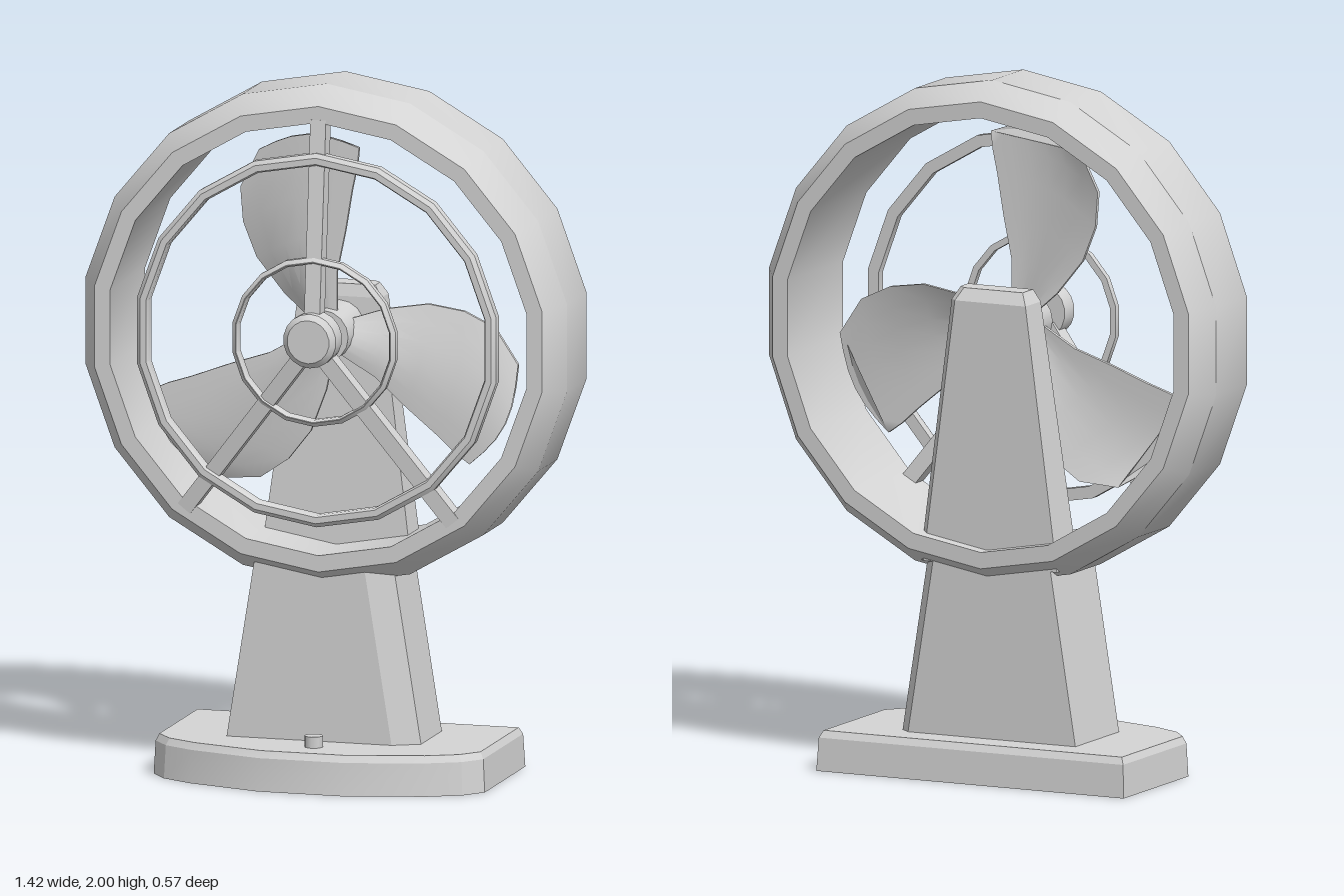
import * as THREE from 'three';
import { toCreasedNormals } from 'three/addons/utils/BufferGeometryUtils.js';

const AXIS_Y = 1.279;
const grey = new THREE.MeshStandardMaterial({ color: 0xd4d4d4 });
grey.name = 'light grey';

function part(name, geometry, parent) {
  const mesh = new THREE.Mesh(geometry, grey);
  mesh.name = name;
  parent.add(mesh);
  return mesh;
}

// Skin stacked loops of [x, y, z] points and cap both ends
function loft(loops, crease) {
  const pos = [];
  const n = loops[0].length;
  const tri = (a, b, c) => pos.push(...a, ...b, ...c);
  for (let k = 0; k < loops.length - 1; k++) {
    for (let i = 0; i < n; i++) {
      const j = (i + 1) % n;
      const [a, b, c, d] = [loops[k][i], loops[k][j], loops[k + 1][j], loops[k + 1][i]];
      tri(a, b, c);
      tri(a, c, d);
    }
  }
  const first = loops[0], last = loops[loops.length - 1];
  for (let i = 1; i < n - 1; i++) {
    tri(first[0], first[i + 1], first[i]);
    tri(last[0], last[i], last[i + 1]);
  }
  const g = new THREE.BufferGeometry();
  g.setAttribute('position', new THREE.Float32BufferAttribute(pos, 3));
  return toCreasedNormals(g, crease);
}

// Revolve an [r, z] profile about the fan axis
function turned(profile, sides) {
  const g = new THREE.LatheGeometry(profile.map(([r, z]) => new THREE.Vector2(r, z)), sides);
  g.rotateX(Math.PI / 2);
  return toCreasedNormals(g.toNonIndexed(), 0.47);
}

// Grille hoop with a bevelled front
const hoop = (inner, outer, back, front) => turned([
  [inner, back], [outer, back], [outer, front - 0.01], [outer - 0.012, front],
  [inner + 0.005, front], [inner, front - 0.01], [inner, back],
], 18);

// Broad cambered blade, thin section at each radius
function bladeGeometry() {
  const left = [[-0.05, 0.02], [-0.14, 0.1], [-0.222, 0.2], [-0.262, 0.3], [-0.27, 0.4], [-0.215, 0.51]];
  const right = [[0.03, 0.03], [0.03, 0.18], [0.055, 0.3], [0.075, 0.42], [0.09, 0.49], [0.095, 0.54]];
  const steps = 6, thick = 0.006;
  const loops = left.map((l, k) => {
    const r = right[k], front = [], back = [];
    for (let i = 0; i <= steps; i++) {
      const u = i / steps, bow = Math.sin(Math.PI * u);
      const x = l[0] + (r[0] - l[0]) * u;
      const y = l[1] + (r[1] - l[1]) * u + 0.045 * bow * k / 5;
      const z = 0.01 + (u - 0.5) * 0.05 + 0.02 * bow;
      front.push([x, y, z + thick]);
      back.unshift([x, y, z - thick]);
    }
    return [...back, ...front];
  });
  return loft(loops, 0.6);
}

export function createModel() {
  const model = new THREE.Group();
  model.name = 'deskFan';

  // Hollow base with a bowed front
  const half = [[0.13, 0.285], [0.35, 0.222], [0.44, 0.175], [0.488, 0.115], [0.488, -0.285]];
  const outline = [...half, ...half.map(([x, z]) => [-x, z]).reverse()];
  const level = (y, s) => outline.map(([x, z]) => [x * s, y, z * (s * 2 - 1)]);
  part('base', loft([
    level(0.08, 0.965), level(0, 0.965), level(0, 1), level(0.095, 0.99), level(0.115, 0.97),
  ], 0.3), model);
  part('bottomPanel', new THREE.BoxGeometry(0.5, 0.01, 0.26), model).position.set(0, 0.077, -0.05);
  part('button', new THREE.CylinderGeometry(0.027, 0.027, 0.08, 8), model).position.set(0, 0.107, 0.17);

  // Tapered column below the housing
  const lower = (y, w) => [
    [w, y, 0.05], [w, y, -0.155], [w - 0.03, y, -0.18],
    [-w, y, -0.18], [-w, y, 0.09], [w - 0.075, y, 0.09],
  ];
  part('column', loft([lower(0.1, 0.283), lower(0.62, 0.2)], 0.1), model);

  // Slimmer column behind the blades
  const upper = (y, w, front, back) => [
    [w, y, front], [w, y, back + 0.02], [w - 0.02, y, back], [-w, y, back], [-w, y, front],
  ];
  part('rearSupport', loft([
    upper(0.61, 0.222, -0.05, -0.18), upper(1.365, 0.122, -0.085, -0.18), upper(1.4, 0.103, -0.095, -0.16),
  ], 0.1), model);

  // Everything that sits on the fan axis
  const head = new THREE.Group();
  head.name = 'fanHead';
  head.position.y = AXIS_Y;
  model.add(head);

  part('housing', turned([
    [0.623, -0.22], [0.67, -0.22], [0.721, -0.145], [0.721, 0.045],
    [0.67, 0.125], [0.623, 0.125], [0.623, -0.22],
  ], 18), head);
  part('outerHoop', hoop(0.503, 0.538, 0.115, 0.152), head);
  part('innerHoop', hoop(0.225, 0.244, 0.148, 0.178), head);
  part('hubCap', turned([
    [0, 0.15], [0.078, 0.15], [0.078, 0.21], [0.062, 0.225], [0, 0.225],
  ], 18), head).position.y = 0.01;
  part('shaft', turned([[0, -0.12], [0.075, -0.12], [0.075, 0.08], [0.03, 0.08], [0.03, 0.17]], 16), head);

  // Grille spokes slope back from the hub to the housing
  for (const [x, y] of [[0, 0.63], [0.395, -0.508], [-0.395, -0.508]]) {
    const spoke = new THREE.Group();
    spoke.name = 'spoke';
    spoke.rotation.z = Math.atan2(-x, y);
    const length = Math.hypot(x, y);
    const bar = part('spokeBar', new THREE.BoxGeometry(0.046, length - 0.04, 0.05), spoke);
    bar.position.set(0, length / 2 + 0.02, 0.134);
    bar.rotation.x = -Math.atan2(0.065, length - 0.04);
    head.add(spoke);
  }

  // Three broad blades
  const blade = bladeGeometry();
  for (let i = 0; i < 3; i++) {
    part('blade', blade, head).rotation.z = i * Math.PI * 2 / 3;
  }
  return model;
}
